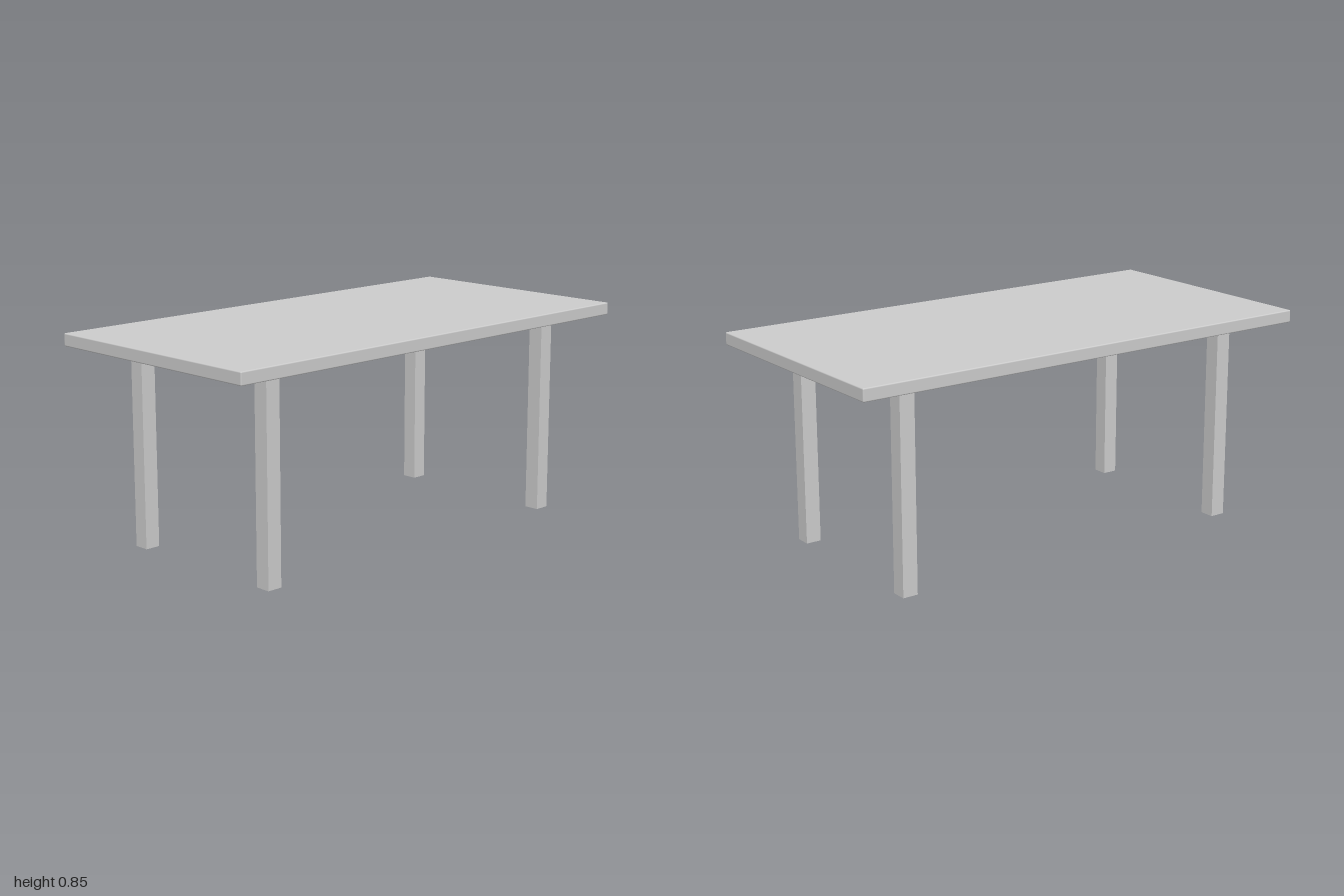
import * as THREE from 'three';
import { RoundedBoxGeometry } from 'three/addons/geometries/RoundedBoxGeometry.js';

const TOP = { width: 2, thickness: 0.05, depth: 1, edge: 0.005 };
const LEG = { side: 0.062, height: 0.8, x: 0.75, z: 0.35 };

export function createModel() {
  const table = new THREE.Group();
  table.name = 'table';
  const material = new THREE.MeshStandardMaterial({ color: 0xcccccc });

  // Table top: a thin slab with slightly softened edges
  const tableTop = new THREE.Mesh(
    new RoundedBoxGeometry(TOP.width, TOP.thickness, TOP.depth, 2, TOP.edge),
    material
  );
  tableTop.name = 'tableTop';
  tableTop.position.y = LEG.height + TOP.thickness / 2;
  table.add(tableTop);

  // Four square legs, set in from the corners
  const legGeometry = new THREE.BoxGeometry(LEG.side, LEG.height, LEG.side);
  for (const [end, sz] of [['front', 1], ['back', -1]]) {
    for (const [side, sx] of [['Left', 1], ['Right', -1]]) {
      const leg = new THREE.Mesh(legGeometry, material);
      leg.name = `${end}${side}Leg`;
      leg.position.set(sx * LEG.x, LEG.height / 2, sz * LEG.z);
      table.add(leg);
    }
  }
  return table;
}
